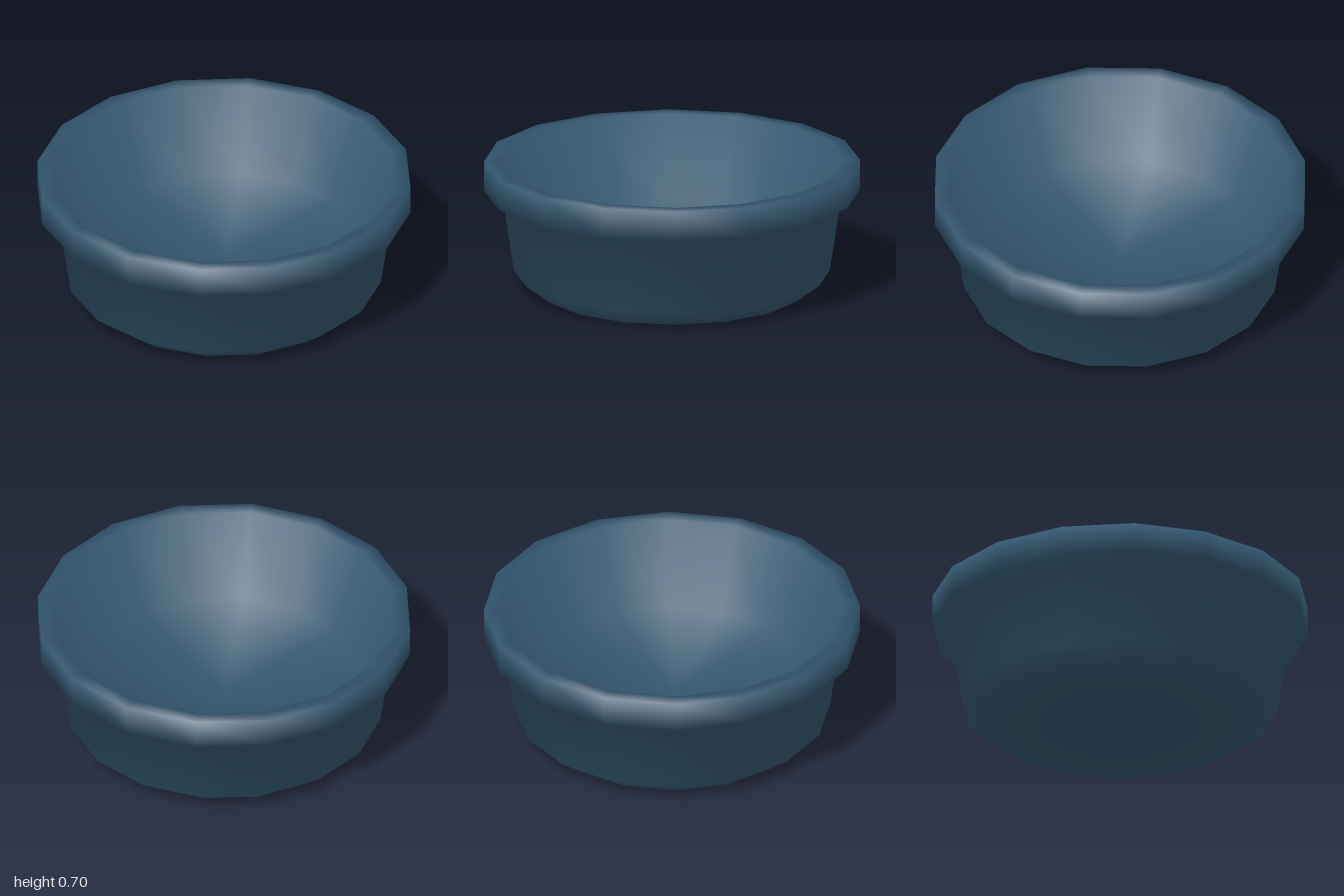
import * as THREE from 'three';

export function createModel() {
  const group = new THREE.Group();
  const blue = new THREE.MeshStandardMaterial({ color: 0x33566e });
  blue.name = 'slateBlue';

  // Closed profile: underside, chamfered foot, tapered wall, thick rim, dished inside
  const profile = [
    [0, 0], [0.71, 0], [0.84, 0.1], [0.9, 0.505], [1, 0.545], [1, 0.705],
    [0.92, 0.705], [0.74, 0.27], [0, 0.18],
  ].map(([r, y]) => new THREE.Vector2(r, y));

  // Sixteen-sided bowl
  const sides = 16;
  const geometry = new THREE.LatheGeometry(profile, sides);

  // Soft shading: each ring's normal is the even mean of the two bands it joins
  const bands = profile.slice(1).map((p, j) =>
    new THREE.Vector2(p.y - profile[j].y, profile[j].x - p.x).normalize());
  const normals = geometry.attributes.normal;
  profile.forEach((p, j) => {
    const n = new THREE.Vector2();
    if (p.x === 0) n.set(0, j === 0 ? -1 : 1);
    else n.addVectors(bands[j - 1], bands[j]).normalize();
    for (let i = 0; i <= sides; i++) {
      const a = (i / sides) * Math.PI * 2;
      normals.setXYZ(i * profile.length + j, n.x * Math.sin(a), n.y, n.x * Math.cos(a));
    }
  });

  const bowl = new THREE.Mesh(geometry, blue);
  bowl.name = 'bowl';
  group.add(bowl);
  return group;
}
